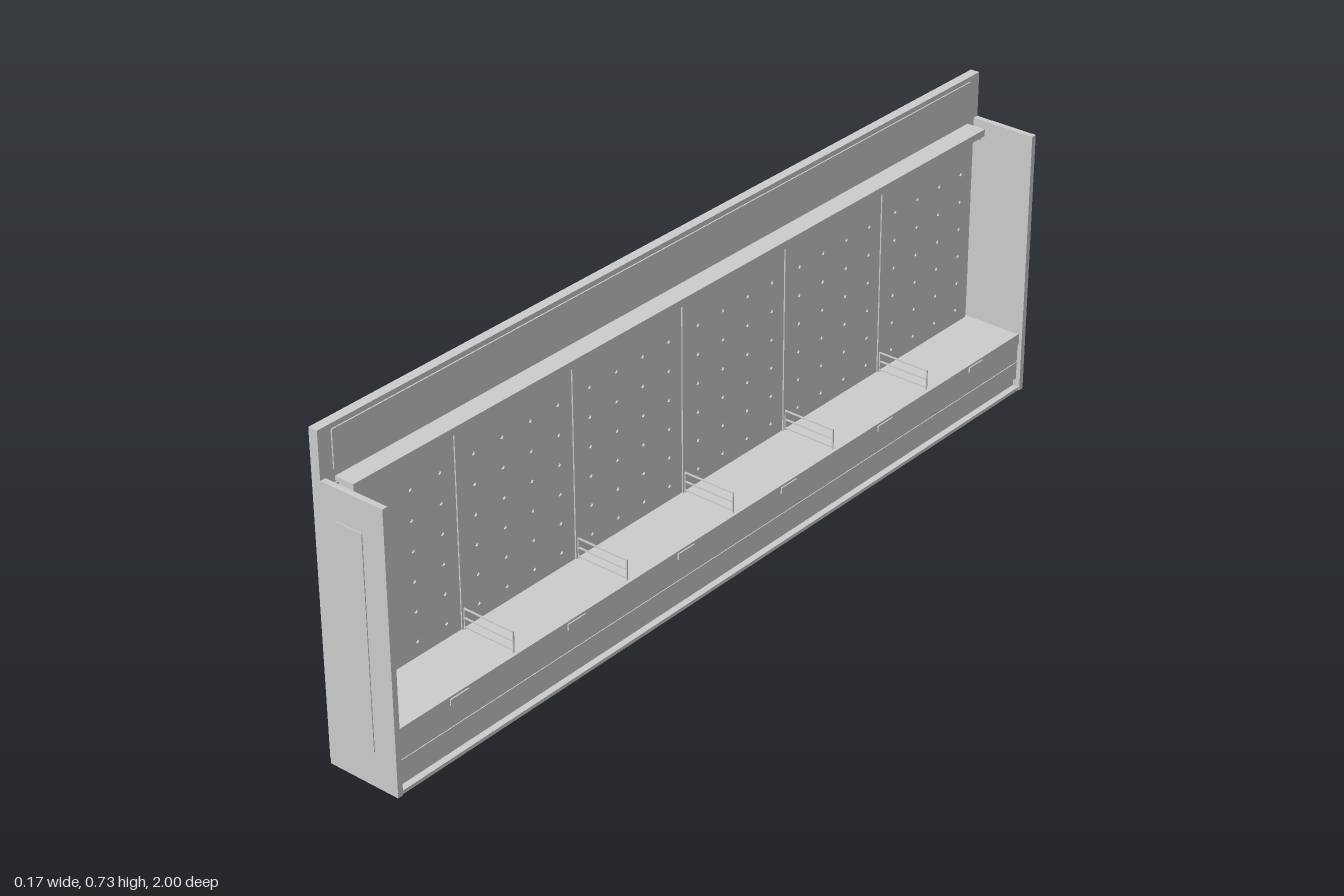
import * as THREE from 'three';

const grey = new THREE.MeshStandardMaterial({ color: 0xcccccc, side: THREE.DoubleSide });

// Axis-aligned box given by its limits on x, y and z
function box(parent, name, [x0, x1], [y0, y1], [z0, z1]) {
  const mesh = new THREE.Mesh(new THREE.BoxGeometry(x1 - x0, y1 - y0, z1 - z0), grey);
  mesh.position.set((x0 + x1) / 2, (y0 + y1) / 2, (z0 + z1) / 2);
  mesh.name = name;
  parent.add(mesh);
  return mesh;
}

// Thin perforated sheet, facing +x
function pegPanel(width, height, depth) {
  const w = width / 2;
  const shape = new THREE.Shape([
    new THREE.Vector2(-w, 0), new THREE.Vector2(w, 0),
    new THREE.Vector2(w, height), new THREE.Vector2(-w, height),
  ]);
  for (let c = 0; c < 4; c++) {
    for (let r = 0; r < 7; r++) {
      const hole = new THREE.Path();
      hole.absarc((c - 1.5) * width / 4, (r + 0.5) * height / 7, 0.004, 0, Math.PI * 2, true);
      shape.holes.push(hole);
    }
  }
  const geo = new THREE.ExtrudeGeometry(shape, { depth, bevelEnabled: false, curveSegments: 6 });
  geo.rotateY(Math.PI / 2);
  return new THREE.Mesh(geo, grey);
}

export function createModel() {
  const model = new THREE.Group();
  model.name = 'wallShelvingUnit';
  const back = -0.0875, front = 0.0875, wall = -0.066;
  const bay = 0.328, inner = 0.985;

  // Back board and its foot strip
  box(model, 'backBoard', [back, wall], [0.014, 0.725], [-0.998, 0.998]);
  box(model, 'backFoot', [back + 0.002, wall], [0, 0.014], [-0.996, 0.996]);
  box(model, 'headerSign', [wall, -0.063], [0.632, 0.714], [-0.965, 0.965]);

  // End panels with a thin raised plate outside and a canopy bracket inside
  for (const s of [-1, 1]) {
    const span = (a, b) => (s > 0 ? [a, b] : [-b, -a]);
    box(model, 'endPanel', [back + 0.001, front], [0, 0.622], span(inner, 0.998));
    box(model, 'endPlate', [-0.033, 0.033], [0.08, 0.552], span(0.998, 1));
    box(model, 'canopyBracket', [wall, -0.026], [0.592, 0.606], span(0.952, 0.958));
  }

  // Base: floor, deck, fascia, price rail and recessed kick plate
  const z = [-inner, inner];
  box(model, 'baseFloor', [back + 0.002, 0.085], [0, 0.008], z);
  box(model, 'kickPlate', [0.066, 0.07], [0.008, 0.03], z);
  box(model, 'fascia', [0.07, 0.077], [0.027, 0.118], z);
  box(model, 'fasciaRib', [0.077, 0.079], [0.066, 0.07], z);
  box(model, 'deck', [wall, 0.076], [0.13, 0.138], z);
  box(model, 'priceRail', [0.074, 0.08], [0.114, 0.141], z);

  // Perforated bay panels and a price clip for each bay
  for (let i = 0; i < 6; i++) {
    const cz = (i - 2.5) * bay;
    const panel = pegPanel(bay - 0.012, 0.466, 0.004);
    panel.name = 'pegPanel';
    panel.position.set(wall, 0.138, cz);
    model.add(panel);
    box(model, 'priceClip', [0.08, 0.083], [0.122, 0.136], [cz - 0.025, cz + 0.025]);
  }

  // Uprights and wire dividers between the bays
  const wire = 0.0015;
  for (let i = -2; i <= 2; i++) {
    const cz = i * bay;
    box(model, 'upright', [wall, -0.059], [0.138, 0.606], [cz - 0.006, cz + 0.006]);
    const divider = new THREE.Group();
    divider.name = 'wireDivider';
    const dz = [cz - wire, cz + wire];
    for (const y of [0.143, 0.163, 0.184]) {
      box(divider, 'dividerRail', [-0.06, 0.069], [y - wire, y + wire], dz);
    }
    for (const x of [-0.058, 0.0675]) {
      box(divider, 'dividerPost', [x - wire, x + wire], [0.138, 0.1855], dz);
    }
    model.add(divider);
  }

  // Canopy with a small front lip
  box(model, 'canopy', [wall, -0.02], [0.608, 0.616], [-0.962, 0.962]);
  box(model, 'canopyLip', [-0.024, -0.02], [0.6, 0.608], [-0.962, 0.962]);

  return model;
}
